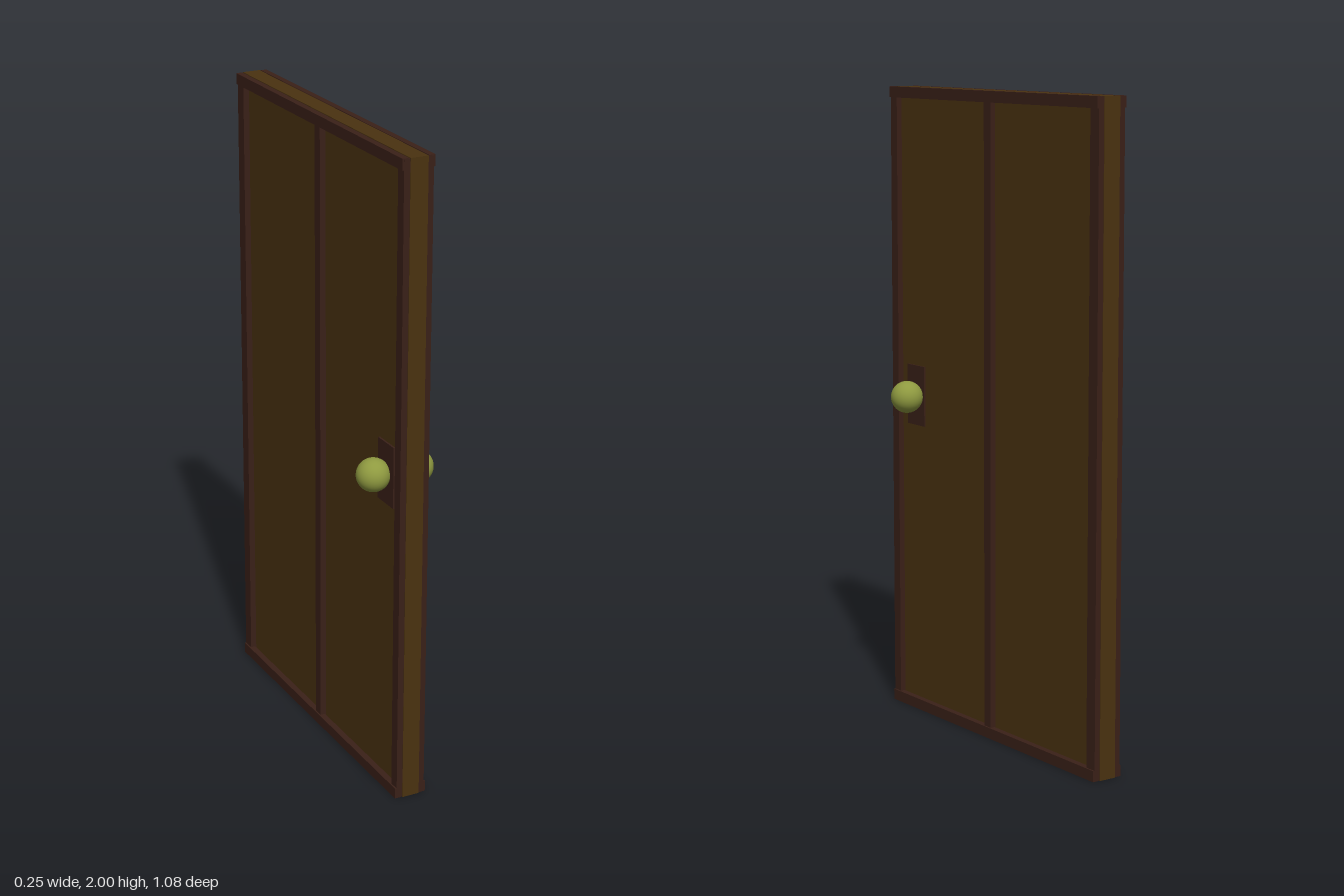
import * as THREE from 'three';

const wood = new THREE.MeshStandardMaterial({ color: 0x4a3210 });
const darkWood = new THREE.MeshStandardMaterial({ color: 0x3a2018 });
const brass = new THREE.MeshStandardMaterial({ color: 0x8f9a40 });

// Box given by its lower and upper bounds on each axis
function box(name, material, [x0, x1], [y0, y1], [z0, z1]) {
  const mesh = new THREE.Mesh(new THREE.BoxGeometry(x1 - x0, y1 - y0, z1 - z0), material);
  mesh.position.set((x0 + x1) / 2, (y0 + y1) / 2, (z0 + z1) / 2);
  mesh.name = name;
  return mesh;
}

export function createModel() {
  const door = new THREE.Group();
  door.name = 'door';

  // Main slab
  door.add(box('slab', wood, [-0.03, 0.026], [0, 2], [-0.538, 0.538]));

  // Trim, lock plate and knob on both faces
  for (const side of [-1, 1]) {
    const face = new THREE.Group();
    face.name = side > 0 ? 'leftFace' : 'rightFace';
    const start = side > 0 ? 0.025 : 0.03;
    const span = (a, b) => [side * (start + a), side * (start + b)].sort((p, q) => p - q);

    // Upright stiles, seated on the slab
    const stiles = { rearStile: [-0.536, -0.496], middleStile: [-0.008, 0.026], frontStile: [0.502, 0.536] };
    for (const [name, z] of Object.entries(stiles)) {
      face.add(box(name, darkWood, span(0, 0.019), [0.002, 1.998], z));
    }

    // Rails stand slightly proud, with a narrow gap behind
    face.add(box('bottomRail', darkWood, span(0.004, 0.024), [0, 0.034], [-0.535, 0.535]));
    face.add(box('topRail', darkWood, span(0.004, 0.024), [1.966, 2], [-0.535, 0.535]));

    // Lock plate and round knob
    face.add(box('lockPlate', darkWood, span(0, 0.006), [0.93, 1.122], [0.375, 0.47]));
    const knob = new THREE.Mesh(new THREE.SphereGeometry(0.051, 32, 20), brass);
    knob.name = 'knob';
    knob.position.set(side > 0 ? 0.07 : -0.073, 1.025, 0.415);
    face.add(knob);

    door.add(face);
  }
  return door;
}
